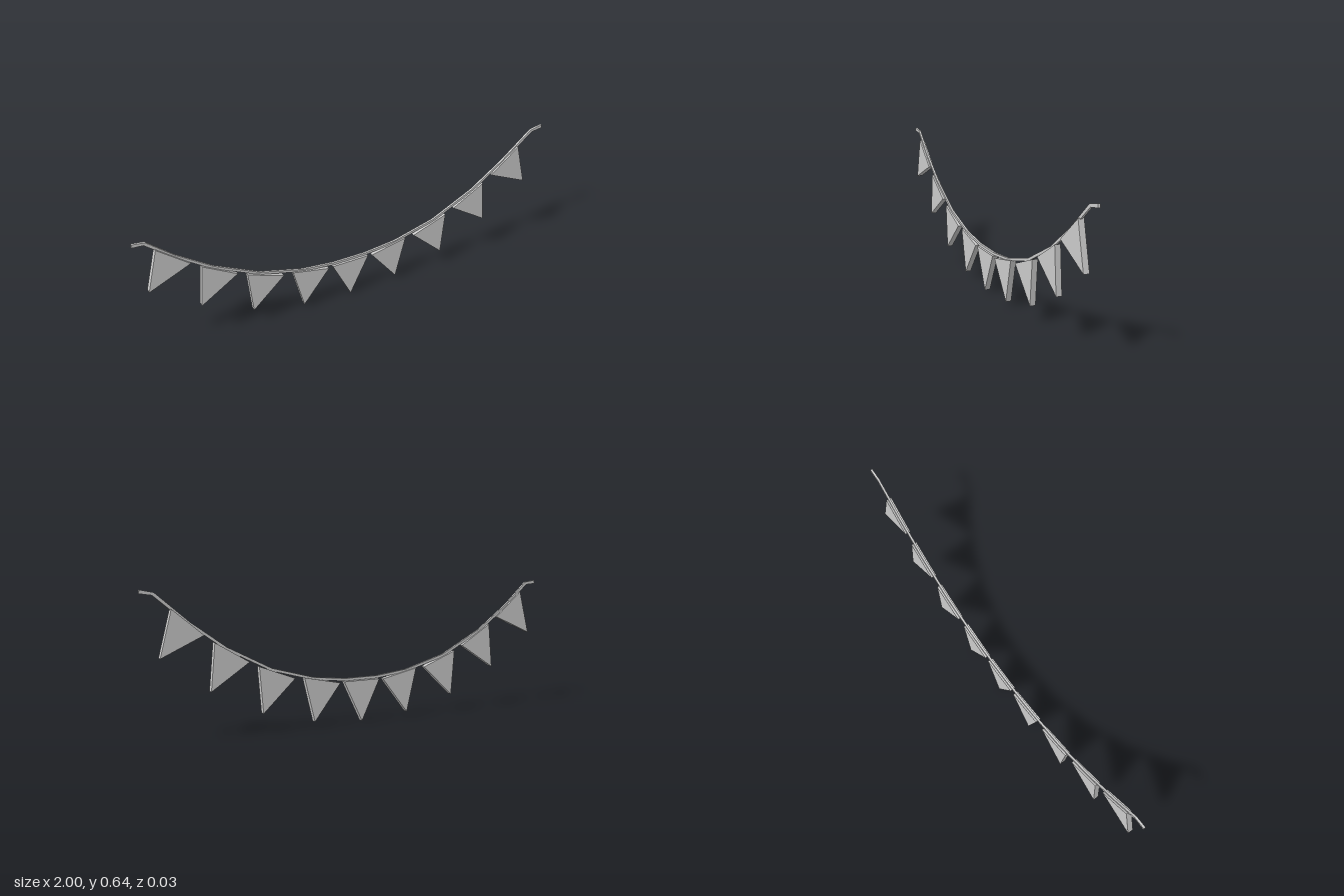
import * as THREE from 'three';

const material = new THREE.MeshStandardMaterial({ color: 0xcccccc, flatShading: true });
const MID = -0.019; // x of the lowest point of the garland

// Rectangular cord swept along a polyline in the xy plane, with mitred joints
function cordGeometry(points) {
  const pos = [], index = [];
  const n = points.length;
  points.forEach(([x, y, half], i) => {
    const a = points[Math.max(i - 1, 0)], b = points[Math.min(i + 1, n - 1)];
    const t = new THREE.Vector2(b[0] - a[0], b[1] - a[1]).normalize();
    for (const [s, z] of [[1, 1], [1, -1], [-1, -1], [-1, 1]]) {
      pos.push(x - t.y * half * s, y + t.x * half * s, z * 0.005);
    }
  });
  for (let i = 0; i < n - 1; i++) {
    for (let k = 0; k < 4; k++) {
      const a = i * 4 + k, b = i * 4 + (k + 1) % 4;
      index.push(a, a + 4, b, b, a + 4, b + 4);
    }
  }
  const e = (n - 1) * 4;
  index.push(0, 1, 2, 0, 2, 3, e, e + 2, e + 1, e, e + 3, e + 2);
  const geometry = new THREE.BufferGeometry();
  geometry.setAttribute('position', new THREE.Float32BufferAttribute(pos, 3));
  geometry.setIndex(index);
  const flat = geometry.toNonIndexed();
  flat.computeVertexNormals();
  return flat;
}

export function createModel() {
  const group = new THREE.Group();
  group.name = 'buntingGarland';

  // Sagging cord with a short loose end on each side
  const cord = new THREE.Mesh(cordGeometry([
    [-1, 0.607, 0.008], [-0.947, 0.602, 0.007], [-0.832, 0.499, 0.006],
    [-0.671, 0.382, 0.006], [-0.463, 0.274, 0.006], [-0.26, 0.217, 0.006],
    [-0.1, 0.199, 0.006], [0.062, 0.199, 0.006], [0.222, 0.217, 0.006],
    [0.425, 0.274, 0.006], [0.633, 0.382, 0.006], [0.794, 0.499, 0.006],
    [0.942, 0.626, 0.007], [1, 0.637, 0.008],
  ]), material);
  cord.name = 'cord';
  group.add(cord);

  // Triangular pennant, hanging from the middle of its top edge
  const triangle = new THREE.Shape([
    new THREE.Vector2(-0.091, 0), new THREE.Vector2(0, -0.19), new THREE.Vector2(0.091, 0),
  ]);
  const pennantGeometry = new THREE.ExtrudeGeometry(triangle, { depth: 0.026, bevelEnabled: false });
  pennantGeometry.translate(0, 0, -0.013);

  // Distance from the middle, height and tilt in degrees, mirrored to both sides
  const places = [
    [0, 0.191, 0], [0.2, 0.207, 12], [0.419, 0.26, 21], [0.626, 0.363, 31], [0.819, 0.503, 40],
  ];
  places.forEach(([dx, y, tilt], i) => {
    for (const side of i === 0 ? [1] : [1, -1]) {
      const pennant = new THREE.Mesh(pennantGeometry, material);
      pennant.name = i === 0 ? 'pennantMiddle' : `pennant${side > 0 ? 'Left' : 'Right'}${i}`;
      pennant.position.set(MID + side * dx, y, 0);
      pennant.rotation.z = side * THREE.MathUtils.degToRad(tilt);
      group.add(pennant);
    }
  });
  return group;
}
